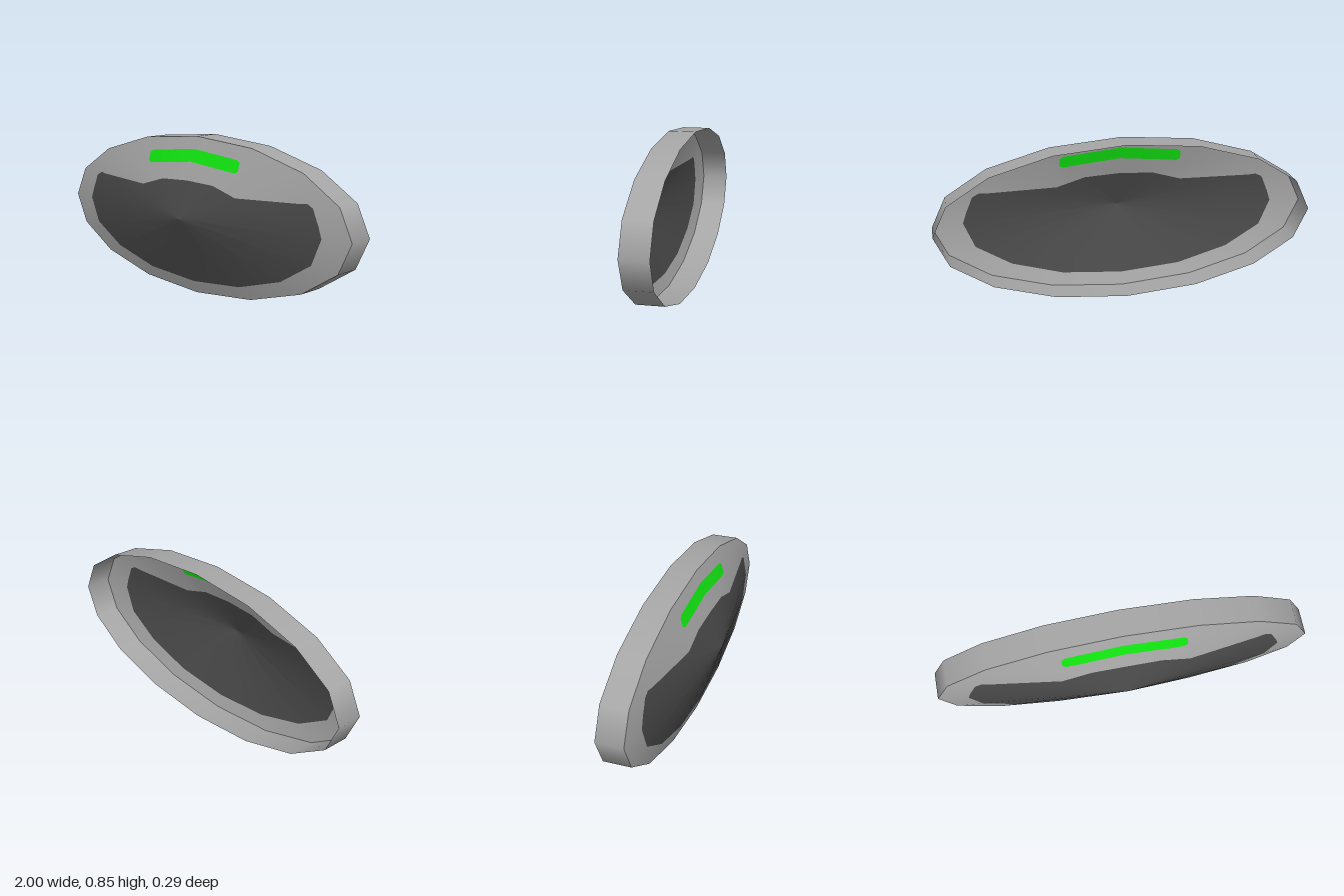
import * as THREE from 'three';

const SIDES = 16, HALF_H = 0.425, DEPTH = 0.145;
const STEP = (Math.PI * 2) / SIDES;

const material = (name, color) =>
  new THREE.MeshStandardMaterial({ name, color, side: THREE.DoubleSide });

// Corner of the oval rim, relative to its centre
const corner = (k) => [Math.cos(k * STEP), HALF_H * Math.sin(k * STEP)];

// Point on the shallow cone: a = angle in rim steps, r = 0 at the tip, 1 at the rim
function conePoint(a, r) {
  const k = Math.floor(a), f = a - k;
  const p = corner(k), q = corner(k + 1);
  return [r * (p[0] + (q[0] - p[0]) * f), r * (p[1] + (q[1] - p[1]) * f), DEPTH * (1 - r)];
}

// Height of the faceted cone above a point x, y
function coneZ(x, y) {
  let r = 0;
  for (let k = 0; k < SIDES; k++) {
    const a = (k + 0.5) * STEP;
    r = Math.max(r, (x * Math.cos(a) + (y / HALF_H) * Math.sin(a)) / Math.cos(STEP / 2));
  }
  return DEPTH * (1 - r);
}

// Smooth cone normal at angle a (radians)
const coneNormal = (a) =>
  new THREE.Vector3(DEPTH * Math.cos(a), (DEPTH * Math.sin(a)) / HALF_H, 1).normalize().toArray();

// Strip of quads between two rows of points, smooth shaded as the cone
function strip(inner, outer, angles) {
  const pos = [], nor = [], idx = [];
  inner.forEach((p, i) => {
    pos.push(...p, ...outer[i]);
    const n = coneNormal(angles[i]);
    nor.push(...n, ...n);
    if (i > 0) {
      const b = 2 * i;
      idx.push(b - 2, b - 1, b + 1, b - 2, b + 1, b);
    }
  });
  const g = new THREE.BufferGeometry();
  g.setAttribute('position', new THREE.Float32BufferAttribute(pos, 3));
  g.setAttribute('normal', new THREE.Float32BufferAttribute(nor, 3));
  g.setIndex(idx);
  return g;
}

export function createModel() {
  const model = new THREE.Group();
  model.name = 'ovalShell';
  const grey = material('shell grey', 0xa6a6a6);
  const dark = material('panel charcoal', 0x494949);
  const green = material('band green', 0x11ea11);

  const add = (name, geometry, mat) => {
    const mesh = new THREE.Mesh(geometry, mat);
    mesh.name = name;
    mesh.position.y = HALF_H;
    model.add(mesh);
  };

  // Open oval side wall
  const wall = new THREE.CylinderGeometry(1, 1, DEPTH, SIDES, 1, true);
  wall.rotateX(Math.PI / 2);
  wall.scale(1, HALF_H, 1);
  wall.translate(0, 0, -DEPTH / 2);
  add('sideWall', wall, grey);

  // Outline of the dark panel, bottom to top on one side: [angle in rim steps, radius]
  const side = [
    [-4, 0.843], [-3, 0.845], [-2, 0.842], [-1, 0.847], [0, 0.84], [0.427, 0.848],
    [0.82, 0.85], [1, 0.852], [1.049, 0.854], [1.191, 0.85], [1.215, 0.809],
    [2, 0.477], [3, 0.482], [4, 0.466],
  ];
  const mirrored = side.slice(0, -1).reverse().map(([a, r]) => [8 - a, r]);
  const outline = [...side, ...mirrored];
  const angles = outline.map(([a]) => a * STEP);
  const tip = outline.map(() => [0, 0, DEPTH]);
  const edge = outline.map(([a, r]) => conePoint(a, r));
  const rim = outline.map(([a]) => conePoint(a, 1));

  // Cone face: dark centre and grey border meet at the outline
  add('darkPanel', strip(tip, edge, angles), dark);
  add('faceBorder', strip(edge, rim, angles), grey);

  // Green band with clipped corners, painted on both sides of the cone
  const columns = [];
  for (let i = -6; i <= 6; i++) columns.push([i * 0.051, 0]);
  columns.unshift([-0.325, 0.012]);
  columns.push([0.325, 0.012]);
  for (const [name, lift] of [['bandFront', 0.002], ['bandBack', -0.002]]) {
    const row = (base, inset) => columns.map(([x, cut]) => {
      const y = base - Math.abs(x) * 0.1 + cut * inset;
      return [x, y, coneZ(x, y) + lift];
    });
    const low = row(0.294, 1), high = row(0.36, -1);
    const a = low.map(([x, y]) => Math.atan2(y / HALF_H, x));
    // Right-to-left order keeps the faces turned forward
    add(name, strip(low.reverse(), high.reverse(), a.reverse()), green);
  }

  return model;
}
